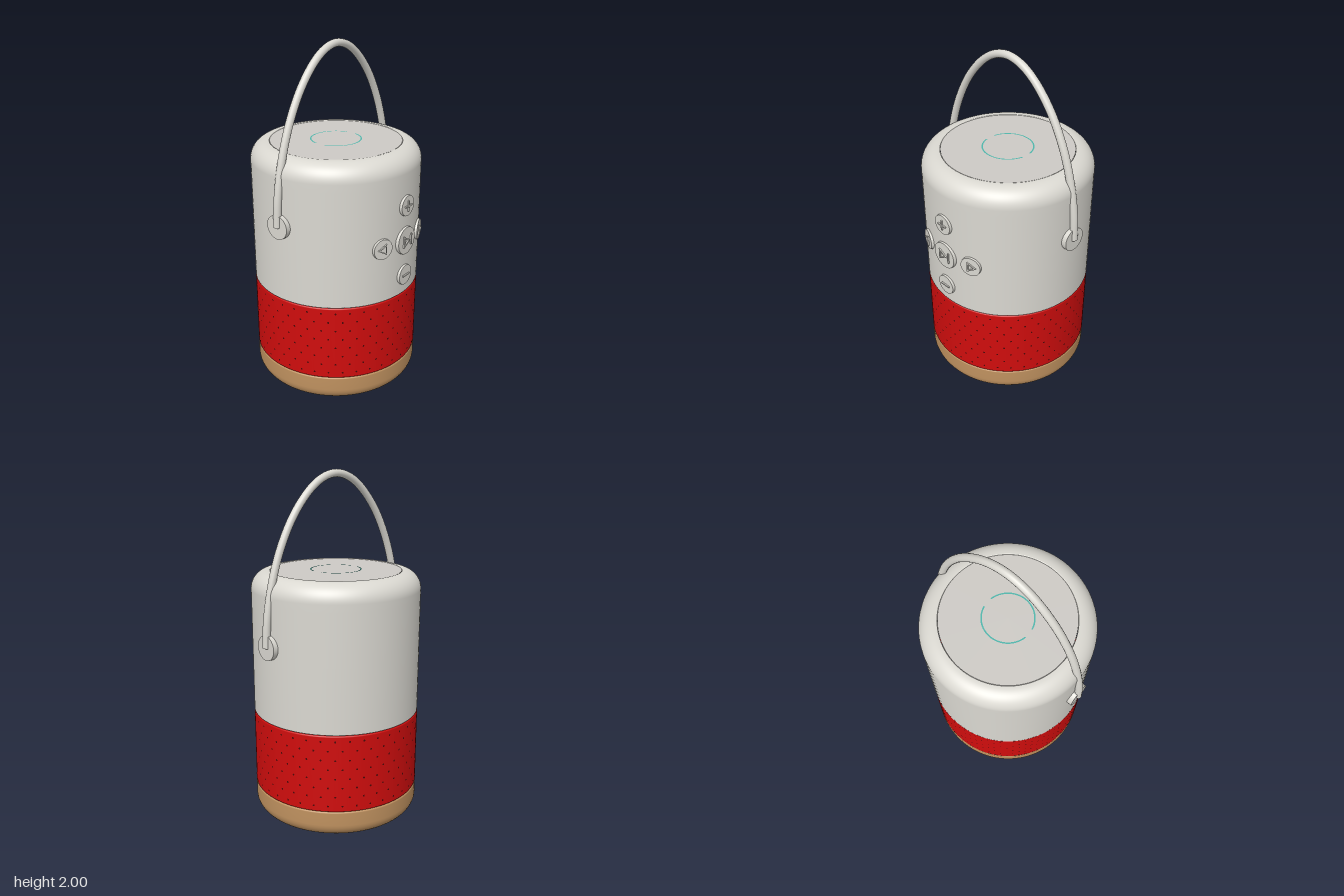
import * as THREE from 'three';
import { mergeGeometries } from 'three/addons/utils/BufferGeometryUtils.js';

const mat = (name, color, side = THREE.FrontSide) => {
  const m = new THREE.MeshStandardMaterial({ color, side });
  m.name = name;
  return m;
};

export function createModel() {
  const shell = mat('warm white', 0xdad8d1);
  const panel = mat('light grey', 0xcdcac5);
  const red = mat('red', 0xd00d0d);
  const dark = mat('dark red', 0x4a0606);
  const tan = mat('tan', 0xbf915f);
  const teal = mat('teal', 0x4fb5ab);

  const root = new THREE.Group();
  const model = new THREE.Group();
  model.name = 'lanternSpeaker';
  model.position.z = -0.012;
  root.add(model);
  const add = (parent, name, geo, material) => {
    const m = new THREE.Mesh(geo, material);
    m.name = name;
    parent.add(m);
    return m;
  };

  // Profile helpers: quarter arcs and lathes
  const R = 0.486;
  const arc = (cx, cy, r, a0, a1, n = 8) => Array.from({ length: n + 1 }, (_, i) => {
    const a = a0 + (a1 - a0) * i / n;
    return [cx + r * Math.cos(a), cy + r * Math.sin(a)];
  });
  const lathe = (pts) => new THREE.LatheGeometry(pts.map(([x, y]) => new THREE.Vector2(x, y)), 96);
  const H = Math.PI / 2;

  // Base with rounded foot
  add(model, 'base', lathe([[0, 0], [0.3, 0],
    ...arc(R - 0.08, 0.08, 0.08, -H, 0), [R, 0.12],
    ...arc(R - 0.008, 0.154, 0.008, 0, H, 4), [0.46, 0.162]]), tan);

  // Perforated band
  add(model, 'speakerBand', lathe([[0.46, 0.164],
    ...arc(R - 0.008, 0.172, 0.008, -H, 0, 4),
    ...arc(R - 0.008, 0.61, 0.008, 0, H, 4), [0.46, 0.618]]), red);
  const holes = [];
  for (let row = 0; row < 8; row++) {
    for (let i = 0; i < 38; i++) {
      const g = new THREE.CircleGeometry(0.006, 6);
      g.translate(0, 0.2 + row * 0.055, R + 0.0012);
      g.rotateY((i + (row % 2) / 2) * Math.PI * 2 / 38);
      holes.push(g);
    }
  }
  add(model, 'bandHoles', mergeGeometries(holes), dark);

  // Upper shell with rounded shoulder and recessed lip
  add(model, 'upperShell', lathe([[0.46, 0.62],
    ...arc(R - 0.006, 0.626, 0.006, -H, 0, 4), [R, 1.0], [R, 1.3],
    ...arc(R - 0.103, 1.342, 0.103, 0, H, 14),
    ...arc(0.381, 1.440, 0.005, H, Math.PI, 4), [0.376, 1.42]]), shell);
  const lid = new THREE.CylinderGeometry(0.375, 0.375, 0.02, 96);
  lid.translate(0, 1.433, 0);
  add(model, 'topPanel', lid, panel);

  // Two-part light ring
  for (const [name, start] of [['rearLightArc', 0.2], ['frontLightArc', Math.PI + 0.2]]) {
    const g = new THREE.RingGeometry(0.139, 0.147, 48, 1, start, Math.PI - 0.4);
    g.rotateX(-H);
    g.translate(0, 1.4445, 0);
    add(model, name, g, teal);
  }

  // Carrying handle and its pivots
  const half = [[0.506, 1.07], [0.497, 1.22], [0.458, 1.42], [0.396, 1.6],
    [0.302, 1.77], [0.185, 1.9], [0.09, 1.959]];
  const path = [...half, [0, 1.978], ...half.slice().reverse().map(([x, y]) => [-x, y])]
    .map(([x, y]) => new THREE.Vector3(x, y, 0));
  const handle = new THREE.Group();
  handle.name = 'handle';
  model.add(handle);
  add(handle, 'handleLoop', new THREE.TubeGeometry(new THREE.CatmullRomCurve3(path), 96, 0.022, 16), shell);
  for (const s of [1, -1]) {
    const side = s > 0 ? 'left' : 'right';
    const pivot = new THREE.CylinderGeometry(0.07, 0.07, 0.04, 40);
    pivot.rotateZ(H);
    pivot.translate(s * 0.491, 1.07, 0);
    add(handle, side + 'Pivot', pivot, shell);
    const end = new THREE.CircleGeometry(0.022, 16);
    end.rotateX(H);
    end.translate(s * 0.506, 1.07, 0);
    add(handle, side + 'HandleEnd', end, shell);
  }

  // Raised symbols
  const extrude = (shape) => new THREE.ExtrudeGeometry(shape, { depth: 0.009, bevelEnabled: false });
  const bar = (w, h, x = 0) => {
    const g = new THREE.BoxGeometry(w, h, 0.009);
    g.translate(x, 0, 0.0045);
    return g;
  };
  const tri = (dir, x = 0, size = 0.036) => {
    const corners = (r) => [0, 1, 2].map((i) => new THREE.Vector2(
      x + dir * r * Math.cos(i * Math.PI * 2 / 3), r * Math.sin(i * Math.PI * 2 / 3)));
    const s = new THREE.Shape(corners(size));
    s.holes.push(new THREE.Path(corners(size * 0.62)));
    return extrude(s);
  };

  // Round buttons set around the front
  const button = (name, angle, y, r, symbols) => {
    const g = new THREE.Group();
    g.name = name;
    g.rotation.y = angle;
    g.position.y = y;
    model.add(g);
    const cap = new THREE.CylinderGeometry(r - 0.003, r, 0.034, 40);
    cap.rotateX(H);
    cap.translate(0, 0, 0.481);
    add(g, name + 'Cap', cap, shell);
    symbols.forEach((s) => {
      s.translate(0, 0, 0.497);
      add(g, name + 'Symbol', s, shell);
    });
  };
  button('plusButton', 0, 1.158, 0.062, [bar(0.062, 0.008), bar(0.008, 0.062)]);
  button('minusButton', 0, 0.738, 0.062, [bar(0.062, 0.008)]);
  button('playButton', 0, 0.95, 0.083, [tri(1, -0.014, 0.04), bar(0.008, 0.066, 0.038)]);
  button('nextButton', 0.365, 0.95, 0.062, [tri(1)]);
  button('backButton', -0.365, 0.95, 0.062, [tri(-1)]);

  return root;
}
